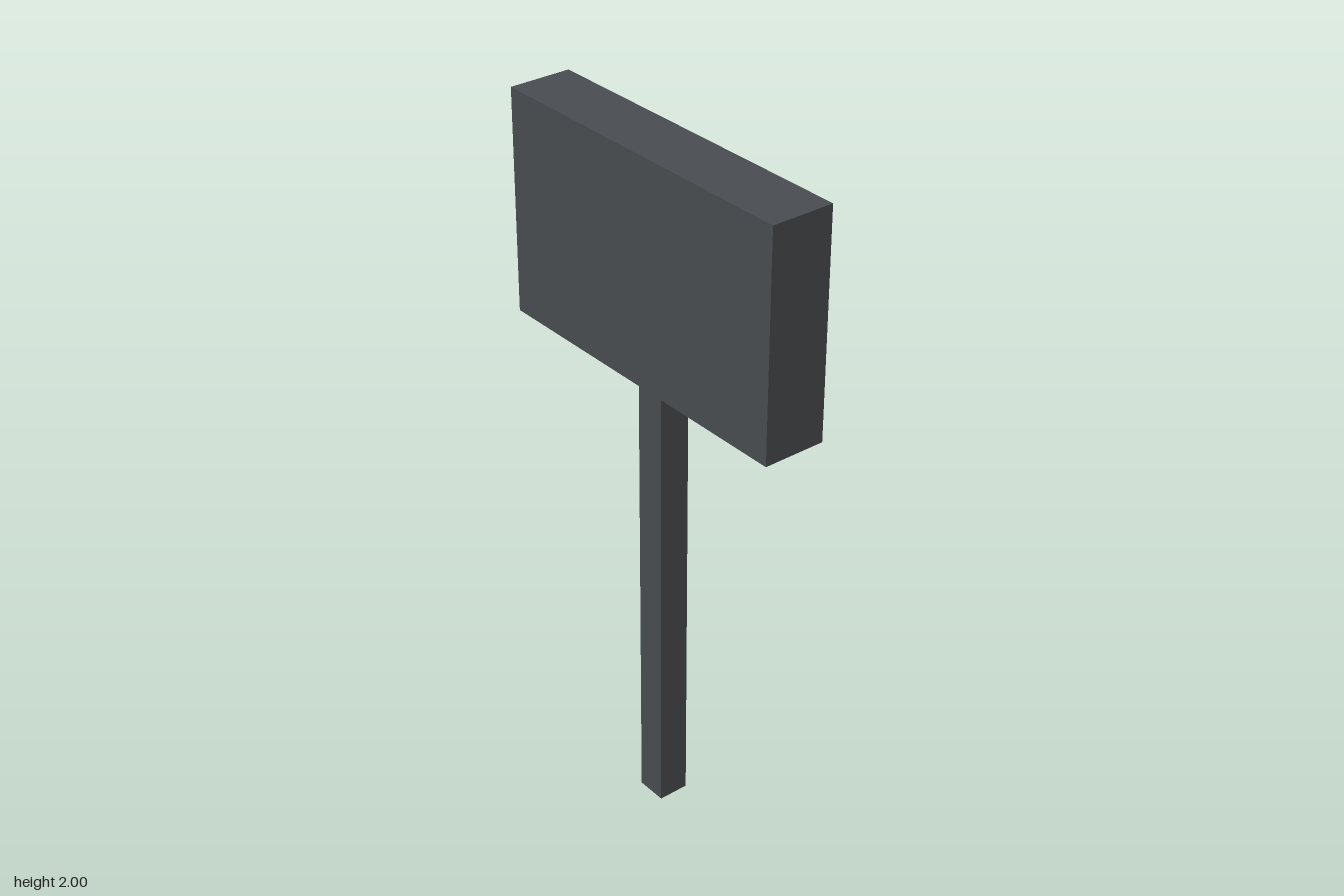
import * as THREE from 'three';

const paint = (name, color) => {
  const m = new THREE.MeshStandardMaterial({ color });
  m.name = name;
  return m;
};

// Flat outline with separate top and bottom corner radii
function panelShape(halfWidth, bottom, top, rTop, rBottom) {
  const s = new THREE.Shape();
  const w = halfWidth;
  s.moveTo(-w + rBottom, bottom);
  s.lineTo(w - rBottom, bottom);
  if (rBottom) s.quadraticCurveTo(w, bottom, w, bottom + rBottom);
  s.lineTo(w, top - rTop);
  if (rTop) s.quadraticCurveTo(w, top, w - rTop, top);
  s.lineTo(-w + rTop, top);
  if (rTop) s.quadraticCurveTo(-w, top, -w, top - rTop);
  s.lineTo(-w, bottom + rBottom);
  if (rBottom) s.quadraticCurveTo(-w, bottom, -w + rBottom, bottom);
  return s;
}

export function createModel() {
  const model = new THREE.Group();
  model.name = 'signOnPole';

  const charcoal = paint('charcoal', 0x484b4f);
  const red = paint('red', 0xb65560);
  const blue = paint('blue', 0x859cb6);
  const yellow = paint('yellow', 0xc2b26a);
  const tan = paint('tan', 0xa68a78);
  const lightGrey = paint('lightGrey', 0xbfbfbf);

  const add = (name, geometry, material, x, y, z) => {
    const mesh = new THREE.Mesh(geometry, material);
    mesh.name = name;
    mesh.position.set(x, y, z);
    model.add(mesh);
    return mesh;
  };

  // Pole and display housing
  add('pole', new THREE.BoxGeometry(0.09, 1.365, 0.09), charcoal, 0, 0.6825, 0);
  add('housing', new THREE.BoxGeometry(1, 0.635, 0.18), charcoal, 0, 1.6825, 0);

  // Picture layers on the back of the housing, each slightly proud of the last
  const layer = (name, shape, material, level) => {
    const mesh = add(name, new THREE.ShapeGeometry(shape, 6), material, 0, 0, -0.09 - level * 0.001);
    mesh.rotation.y = Math.PI;
  };
  layer('screen', panelShape(0.456, 1.41, 1.93, 0, 0.022), red, 1);
  layer('topBar', panelShape(0.456, 1.913, 1.958, 0.022, 0), lightGrey, 2);
  layer('bluePanel', panelShape(0.319, 1.455, 1.868, 0.022, 0.012), blue, 2);
  layer('yellowPanel', panelShape(0.23, 1.455, 1.814, 0.022, 0), yellow, 3);
  layer('face', panelShape(0.133, 1.548, 1.73, 0, 0.018), tan, 4);
  layer('hair', panelShape(0.133, 1.724, 1.814, 0, 0), charcoal, 5);

  for (const side of [-1, 1]) {
    const eye = add('eye', new THREE.CircleGeometry(0.021, 20), charcoal, side * 0.068, 1.66, -0.095);
    eye.rotation.y = Math.PI;
  }

  return model;
}
